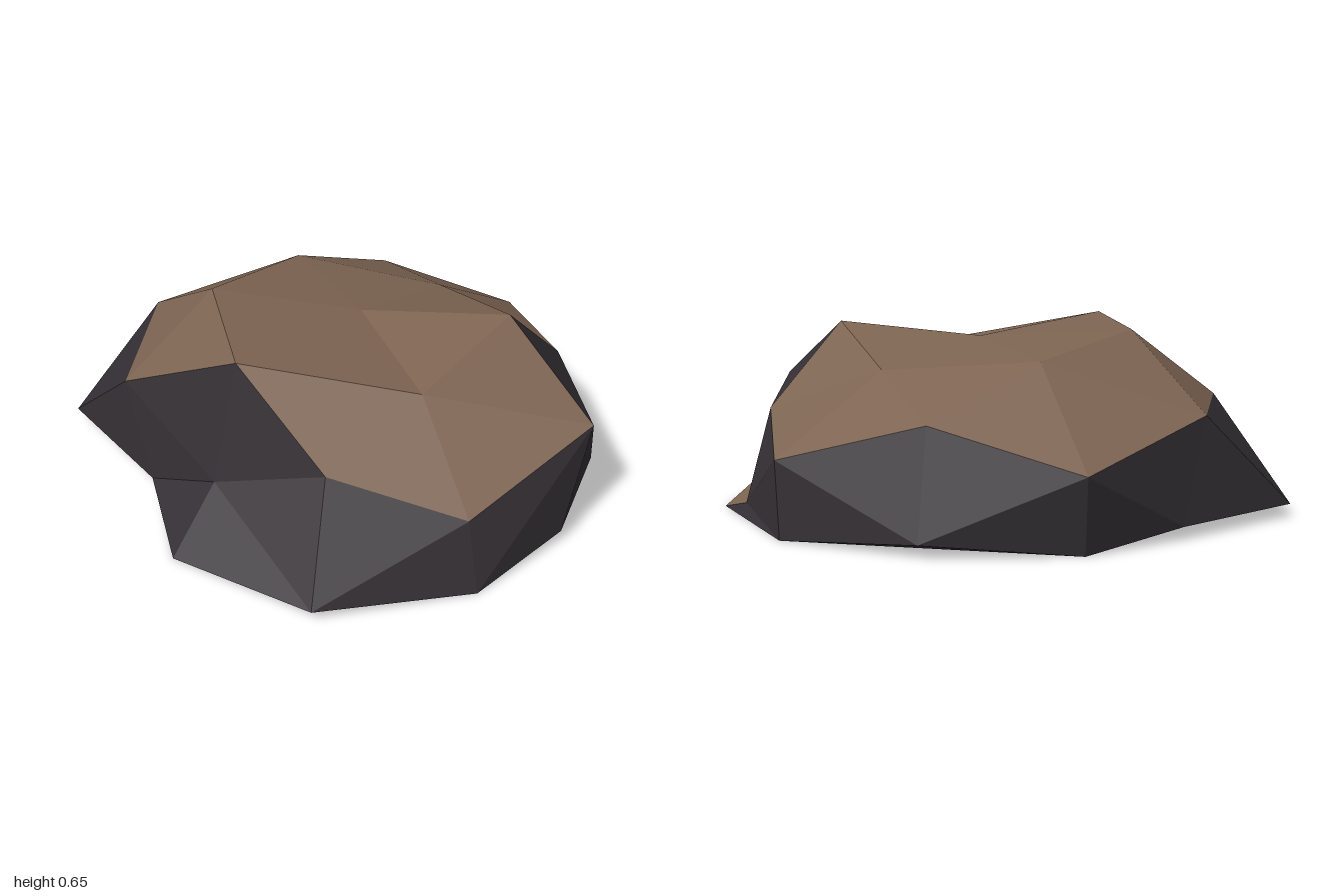
import * as THREE from 'three';

// Corner points of the boulder, grouped by level
const P = {
  // dips and ridges inside the top
  N: [-0.165, 0.57, -0.51], Q: [0.385, 0.52, -0.41], P: [-0.44, 0.64, -0.12], R: [0.1, 0.605, -0.07], S: [0.33, 0.54, 0.35],
  // rim between the earthy top and the dark sides
  A: [-0.35, 0.26, -0.84], M: [0.16, 0.4, -0.795], B: [0.67, 0.265, -0.73], D: [0.83, 0.355, -0.235],
  E: [0.625, 0.645, -0.01], C: [0.915, 0.41, 0.305], G: [0.5, 0.25, 0.65], k: [0.025, 0.38, 0.615],
  F: [-0.29, 0.655, 0.38], J: [-0.73, 0.385, 0.12], I: [-0.705, 0.39, -0.42],
  // notch in the front corner
  L: [-0.37, 0.215, 0.46],
  // foot, slightly raised corners
  H: [-1, 0.045, -0.17], a: [-0.64, 0.045, -0.555], Z: [0.17, 0.045, -0.905], Y: [0.875, 0.045, -0.4],
  W: [0.965, 0.045, 0], V: [0.83, 0.045, 0.43], K: [0, 0.045, 0.9], c: [-0.635, 0.045, 0.24],
  // foot, corners on the ground
  d: [-0.34, 0, -0.8], b: [0.66, 0, -0.73], X: [0.995, 0, -0.27], U: [0.54, 0, 0.72], T: [-0.5, 0, 0.62], e: [-0.65, 0, -0.1],
};

// Each fan is a hub corner followed by the path of corners around it.
// Every facet is turned to face away from a point low in the middle.
function facets(name, fans, color) {
  const core = new THREE.Vector3(0, 0.02, 0);
  const points = [];
  for (const [hub, ...path] of fans) {
    for (let i = 0; i + 1 < path.length; i++) {
      const tri = [hub, path[i], path[i + 1]].map((n) => new THREE.Vector3(...P[n]));
      const normal = new THREE.Triangle(...tri).getNormal(new THREE.Vector3());
      if (normal.dot(tri[0].clone().sub(core)) < 0) tri.reverse();
      points.push(...tri);
    }
  }
  const geometry = new THREE.BufferGeometry().setFromPoints(points);
  geometry.computeVertexNormals();
  const mesh = new THREE.Mesh(geometry, new THREE.MeshStandardMaterial({ color, flatShading: true }));
  mesh.name = name;
  return mesh;
}

export function createModel() {
  const rock = new THREE.Group();
  rock.name = 'boulder';
  const dark = 0x353035;
  rock.add(
    // Earthy crown, plus one small ledge at the foot
    facets('earthTop', ['QMBDERNM', 'PNIJFRN', 'SFkGCERF', 'NIAM'], 0x7d6452),
    facets('earthLedge', ['XWY'], 0x7d6452),
    // Dark stone flanks
    facets('stoneSides', ['ZdAMBb', 'adAIH', 'cHJLT', 'JHI', 'LJFkKT', 'GkKUC', 'CUVWDE', 'YWDBbX'], dark),
    // Flat underside with bevelled edges
    facets('stoneBase', ['eTcHadbXUT', 'UTK', 'Zbd', 'XUVW'], dark),
  );
  return rock;
}
